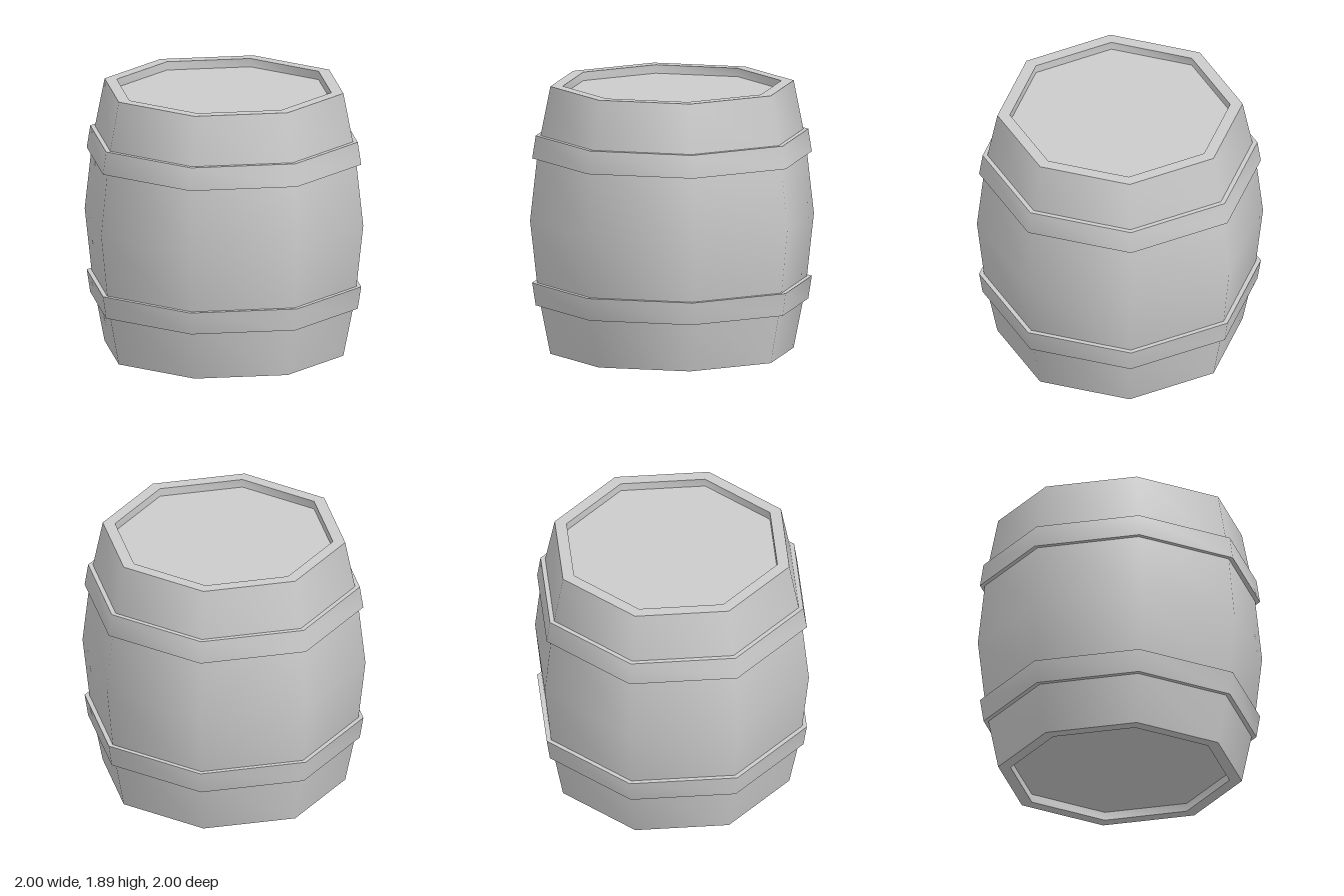
import * as THREE from 'three';
import { toCreasedNormals } from 'three/addons/utils/BufferGeometryUtils.js';

const SIDES = 8;
const HEIGHT = 1.89;
const MID = HEIGHT / 2;

const material = new THREE.MeshStandardMaterial({ color: 0xcccccc });

// Eight-sided turned part, smooth around the sides and sharp at the rims
function turned(name, profile) {
  const points = profile.map(([r, y]) => new THREE.Vector2(r, y));
  const geometry = toCreasedNormals(new THREE.LatheGeometry(points, SIDES), 0.95);
  const mesh = new THREE.Mesh(geometry, material);
  mesh.name = name;
  return mesh;
}

// Flip a profile top to bottom, keeping its upward order
const mirrored = (profile) => profile.map(([r, y]) => [r, HEIGHT - y]).reverse();

export function createModel() {
  const barrel = new THREE.Group();
  barrel.name = 'barrel';

  // Body: recessed end, flat rim, then staves bulging to the middle
  const lowerHalf = [
    [0, 0.06],
    [0.77, 0.06],
    [0.77, 0],
    [0.857, 0],
    [0.942, 0.425],
  ];
  barrel.add(turned('body', [...lowerHalf, [1, MID], ...mirrored(lowerHalf)]));

  // Hoops: slanted bands wrapped around the staves, closed inside the body
  const hoop = [
    [0.9, 0.345],
    [0.96, 0.345],
    [0.985, 0.505],
    [0.9, 0.505],
  ];
  barrel.add(turned('lowerHoop', hoop));
  barrel.add(turned('upperHoop', mirrored(hoop)));

  return barrel;
}
